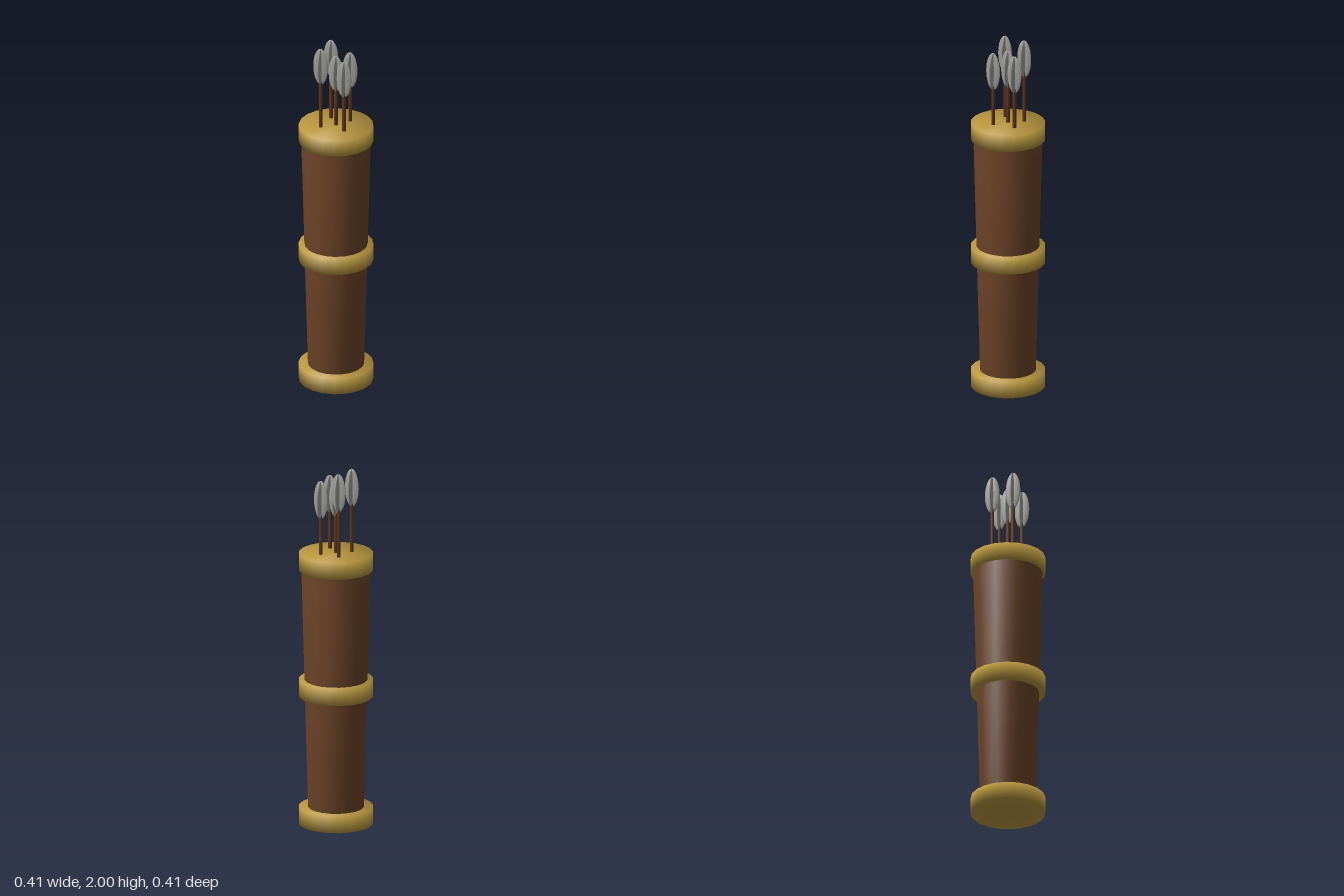
import * as THREE from 'three';
import { mergeVertices } from 'three/addons/utils/BufferGeometryUtils.js';

const material = (color) => new THREE.MeshStandardMaterial({ color });

// Solid cylinder whose normals blend softly over the rims
function softCylinder(top, bottom, height, sides) {
  const g = new THREE.CylinderGeometry(top, bottom, height, sides);
  g.deleteAttribute('normal');
  g.deleteAttribute('uv');
  const merged = mergeVertices(g);
  merged.computeVertexNormals();
  return merged;
}

export function createModel() {
  const model = new THREE.Group();
  model.name = 'quiver';
  const leather = material(0x6b4226);
  const brass = material(0xb8963e);
  const wood = material(0x5e341c);
  const steel = material(0x9c9c98);

  const add = (parent, name, geometry, mat, x, y, z) => {
    const mesh = new THREE.Mesh(geometry, mat);
    mesh.name = name;
    mesh.position.set(x, y, z);
    parent.add(mesh);
    return mesh;
  };

  // Tapered leather tube
  add(model, 'body', softCylinder(0.19, 0.152, 1.42, 20), leather, 0, 0.765, 0);

  // Brass bands: base, middle and closed rim
  const band = softCylinder(0.203, 0.203, 0.095, 20);
  [['bottomBand', 0.0475], ['middleBand', 0.7675], ['topBand', 1.4825]].forEach(
    ([name, y]) => add(model, name, band, brass, 0, y, 0));

  // Arrows: x, z and height of the tip
  const arrows = [
    [-0.056, -0.07, 2], [0.055, -0.07, 1.945], [0, 0, 1.945],
    [-0.068, 0.055, 2], [0.068, 0.055, 1.945],
  ];
  const shaft = new THREE.CylinderGeometry(0.01, 0.01, 0.5, 10);
  const blade = new THREE.SphereGeometry(1, 16, 12).scale(0.043, 0.1075, 0.01);
  arrows.forEach(([x, z, tip], i) => {
    const arrow = new THREE.Group();
    arrow.name = `arrow${i + 1}`;
    arrow.position.set(x, tip, z);
    add(arrow, 'shaft', shaft, wood, 0, -0.4, 0);
    // Head made of two crossed blades
    for (const turn of [0, Math.PI / 2]) {
      add(arrow, 'blade', blade, steel, 0, -0.1075, 0).rotation.y = turn;
    }
    model.add(arrow);
  });

  return model;
}
